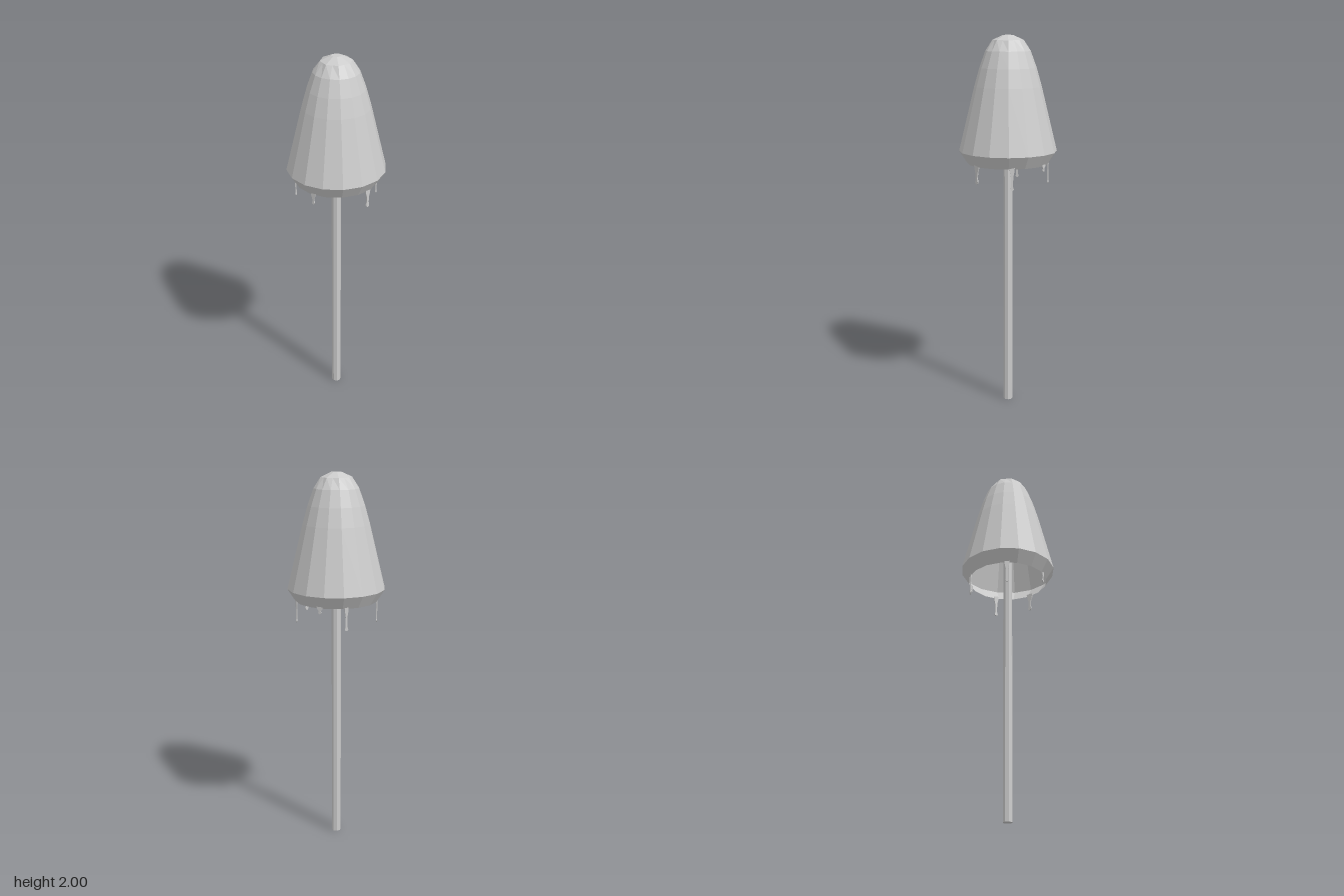
import * as THREE from 'three';

const grey = new THREE.MeshStandardMaterial({ color: 0xcccccc, flatShading: true, side: THREE.DoubleSide });
const RIM_Y = 1.34, RIM_R = 0.213;

function part(name, geometry) {
  const mesh = new THREE.Mesh(geometry, grey);
  mesh.name = name;
  return mesh;
}

// Hollow 16-sided cap whose crown narrows to an octagon
function capGeometry() {
  const profile = [
    [0.215, RIM_Y], [0.257, 1.405], [0.175, 1.74], [0.148, 1.835],
    [0.117, 1.92], [0.081, 1.975], [0.026, 2], [0, 2],
  ].map(([r, y]) => new THREE.Vector2(r, y));
  const geometry = new THREE.LatheGeometry(profile, 16);
  const pos = geometry.attributes.position;
  for (let i = 0; i < pos.count; i++) {
    const column = Math.floor(i / profile.length);
    // Pull every second crown vertex onto the octagon's edge
    if (pos.getY(i) > 1.95 && column % 2 === 0) {
      const k = Math.cos(Math.PI / 8);
      pos.setXYZ(i, pos.getX(i) * k, pos.getY(i), pos.getZ(i) * k);
    }
  }
  geometry.computeVertexNormals();
  return geometry;
}

// Thin drip: broad root, narrow neck and a rounded bead at the end
function dripGeometry(length, width, bead) {
  const outline = [
    [width, 0.012], [width * 0.8, -length * 0.12], [width * 0.42, -length * 0.35],
    [bead * 0.55, -length * 0.65], [bead * 0.6, -length + bead * 2.2],
    [bead, -length + bead], [bead * 0.7, -length + bead * 0.3], [0, -length],
  ];
  const mirrored = outline.slice(0, -1).reverse().map(([x, y]) => [-x, y]);
  const shape = new THREE.Shape([...outline, ...mirrored].map(([x, y]) => new THREE.Vector2(x, y)));
  const geometry = new THREE.ExtrudeGeometry(shape, { depth: 0.006, bevelEnabled: false });
  return geometry.translate(0, 0, -0.003);
}

export function createModel() {
  const model = new THREE.Group();
  model.name = 'mushroom';

  model.add(part('cap', capGeometry()));

  // Octagonal stem reaching up inside the cap
  const stem = part('stem', new THREE.CylinderGeometry(0.025, 0.025, 1.98, 8));
  stem.position.y = 0.99;
  stem.rotation.y = Math.PI / 8;
  model.add(stem);

  // Drips around the rim: x, z, length, half width, bead radius
  const drips = new THREE.Group();
  drips.name = 'drips';
  [
    [-0.215, 0.03, 0.115, 0.014, 0.008],
    [-0.10, -0.19, 0.115, 0.011, 0.009],
    [0.195, -0.10, 0.11, 0.014, 0.009],
    [0.195, 0.10, 0.09, 0.019, 0.011],
    [-0.065, 0.205, 0.055, 0.014, 0.008],
    [0.035, -0.215, 0.03, 0.017, 0.008],
  ].forEach(([x, z, length, width, bead]) => {
    const drip = part('drip', dripGeometry(length, width, bead));
    const angle = Math.atan2(x, z);
    drip.position.set(Math.sin(angle) * RIM_R, RIM_Y, Math.cos(angle) * RIM_R);
    drip.rotation.y = angle;
    drips.add(drip);
  });
  model.add(drips);

  return model;
}
